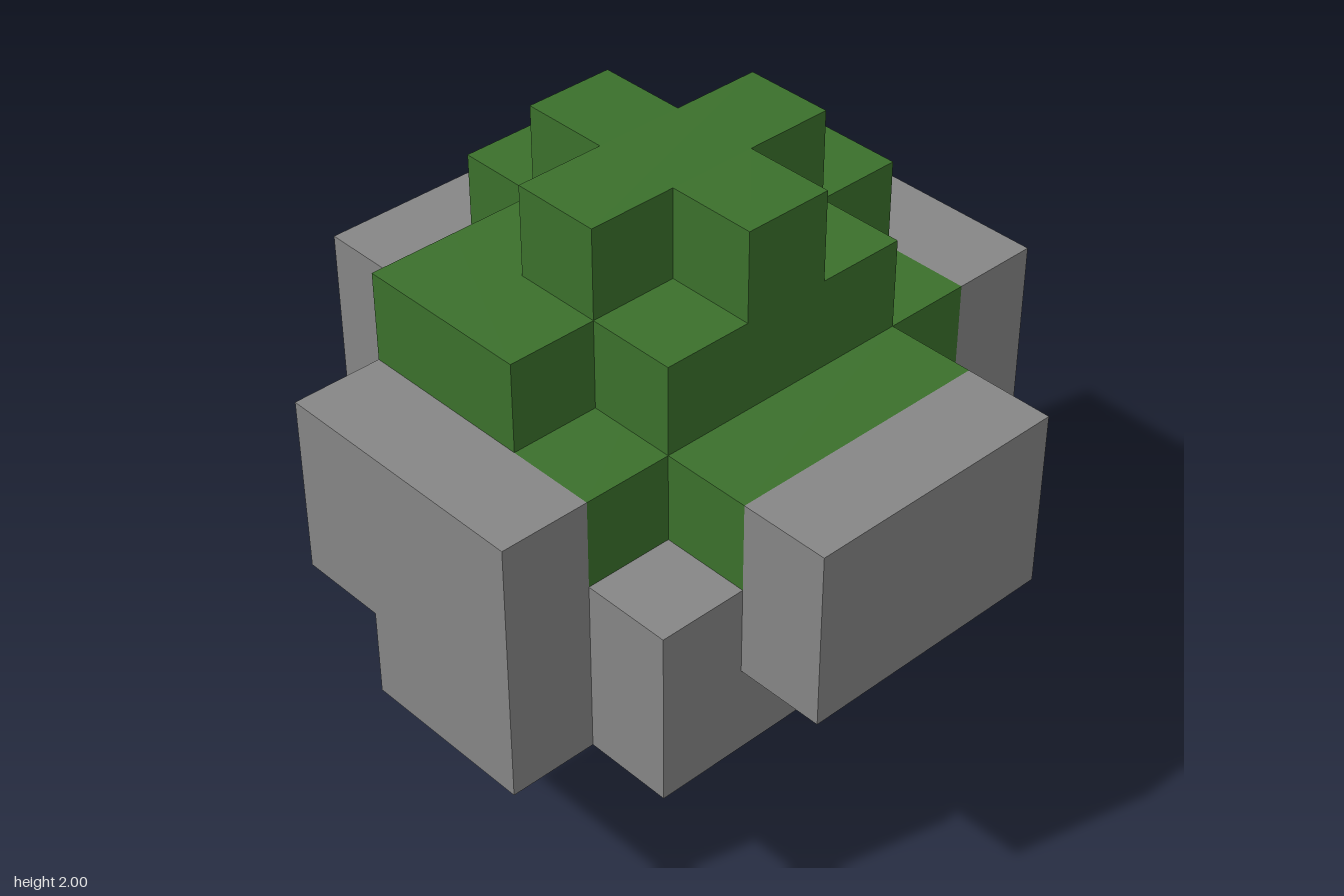
import * as THREE from 'three';

// Everything sits on a 7 x 7 x 7 block grid
const U = 2 / 7;

export function createModel() {
  const model = new THREE.Group();
  const green = new THREE.MeshStandardMaterial({ color: 0x3b702c });
  green.name = 'leaf green';
  const grey = new THREE.MeshStandardMaterial({ color: 0x868686 });
  grey.name = 'stone grey';
  const brown = new THREE.MeshStandardMaterial({ color: 0x665033 });
  brown.name = 'bark brown';

  // One box filling an inclusive range of grid cells: x and z run -3..3, y runs 0..6
  function blocks(parent, name, material, [x0, x1], [y0, y1], [z0, z1]) {
    const geometry = new THREE.BoxGeometry((x1 - x0 + 1) * U, (y1 - y0 + 1) * U, (z1 - z0 + 1) * U);
    const mesh = new THREE.Mesh(geometry, material);
    mesh.name = name;
    mesh.position.set((x0 + x1) / 2 * U, (y0 + y1 + 1) / 2 * U, (z0 + z1) / 2 * U);
    parent.add(mesh);
  }
  function group(name) {
    const g = new THREE.Group();
    g.name = name;
    model.add(g);
    return g;
  }

  // Trunk
  const trunk = group('trunk');
  blocks(trunk, 'trunkBase', grey, [0, 0], [0, 0], [0, 0]);
  blocks(trunk, 'trunkTop', brown, [0, 0], [1, 1], [0, 0]);

  // Leafy core
  const leaves = group('leaves');
  blocks(leaves, 'lowerLeaves', green, [-1, 1], [2, 2], [-1, 1]);
  blocks(leaves, 'lowerRightLeaves', green, [-2, -2], [2, 2], [0, 1]);
  blocks(leaves, 'middleLeaves', green, [-2, 2], [3, 4], [-1, 1]);
  for (const [name, z] of [['frontLeaves', 2], ['backLeaves', -2]]) {
    blocks(leaves, name, green, [-1, 1], [3, 4], [z, z]);
  }

  // Stepped crown, ending in a plus shape
  const crown = group('crown');
  blocks(crown, 'crownBase', green, [-1, 1], [5, 5], [-1, 1]);
  blocks(crown, 'crownLeftBlock', green, [2, 2], [5, 5], [0, 0]);
  blocks(crown, 'crownRightBlock', green, [-2, -2], [5, 5], [-1, 0]);
  blocks(crown, 'crownBackBlock', green, [0, 0], [5, 5], [-2, -2]);
  blocks(crown, 'crownTopBar', green, [-1, 1], [6, 6], [0, 0]);
  for (const z of [-1, 1]) blocks(crown, 'crownTopArm', green, [0, 0], [6, 6], [z, z]);

  // Outer slabs on all four sides
  const slabs = group('outerSlabs');
  for (const s of [-3, 3]) {
    blocks(slabs, s > 0 ? 'leftSlab' : 'rightSlab', grey, [s, s], [3, 4], [-1, 1]);
    blocks(slabs, s > 0 ? 'frontSlab' : 'backSlab', grey, [-1, 1], [3, 4], [s, s]);
  }

  // Lower rim and front corner blocks
  const rim = group('lowerRim');
  blocks(rim, 'frontRim', grey, [-2, 1], [2, 2], [2, 2]);
  blocks(rim, 'backRim', grey, [-1, 1], [2, 2], [-2, -2]);
  blocks(rim, 'leftRim', grey, [2, 2], [2, 2], [-1, 1]);
  blocks(rim, 'rightRim', grey, [-3, -3], [2, 2], [0, 1]);
  for (const x of [-2, 2]) blocks(rim, 'cornerBlock', grey, [x, x], [3, 3], [2, 2]);

  return model;
}
